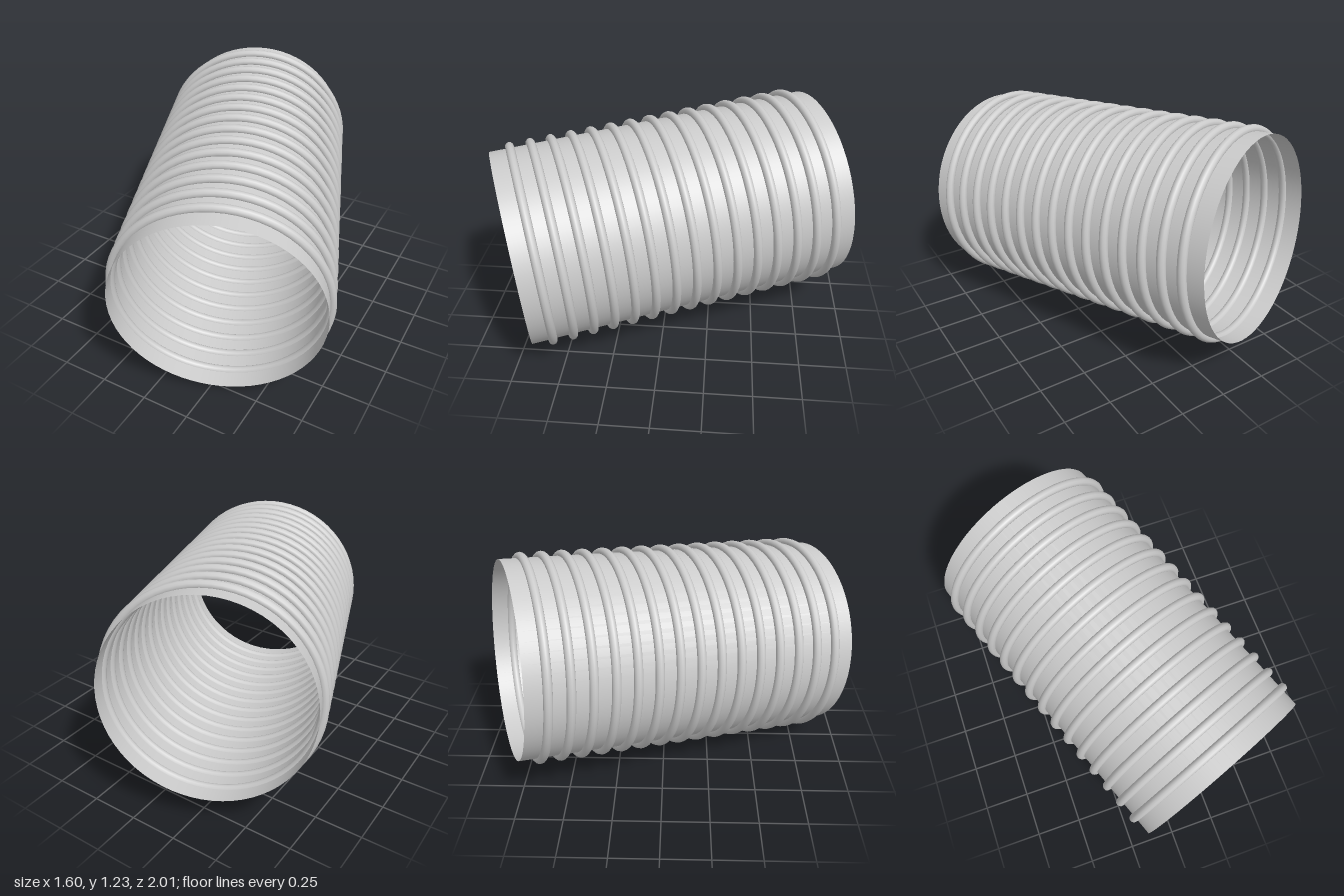
import * as THREE from 'three';

export function createModel() {
  const model = new THREE.Group();
  const material = new THREE.MeshStandardMaterial({ color: 0xcccccc, side: THREE.DoubleSide });

  const length = 1.744, radius = 0.521, intervals = 16;

  // Thin open sleeve, built along y
  const hose = new THREE.Group();
  hose.name = 'ribbedTube';
  const sleeve = new THREE.Mesh(
    new THREE.CylinderGeometry(radius, radius, length, 64, 1, true), material);
  sleeve.name = 'sleeve';
  hose.add(sleeve);

  // Evenly spaced round ribs, centred just outside the sleeve
  const ribGeometry = new THREE.TorusGeometry(0.529, 0.023, 12, 64).rotateX(Math.PI / 2);
  for (let i = 1; i < intervals; i++) {
    const rib = new THREE.Mesh(ribGeometry, material);
    rib.name = `rib${i}`;
    rib.position.y = length * (i / intervals - 0.5);
    hose.add(rib);
  }

  // Lay the tube down: its front end points left, forward and slightly down
  const axis = new THREE.Vector3(0.63, -0.145, 1.62).normalize();
  hose.quaternion.setFromUnitVectors(new THREE.Vector3(0, 1, 0), axis);
  hose.position.y = 0.615;
  model.add(hose);
  return model;
}
